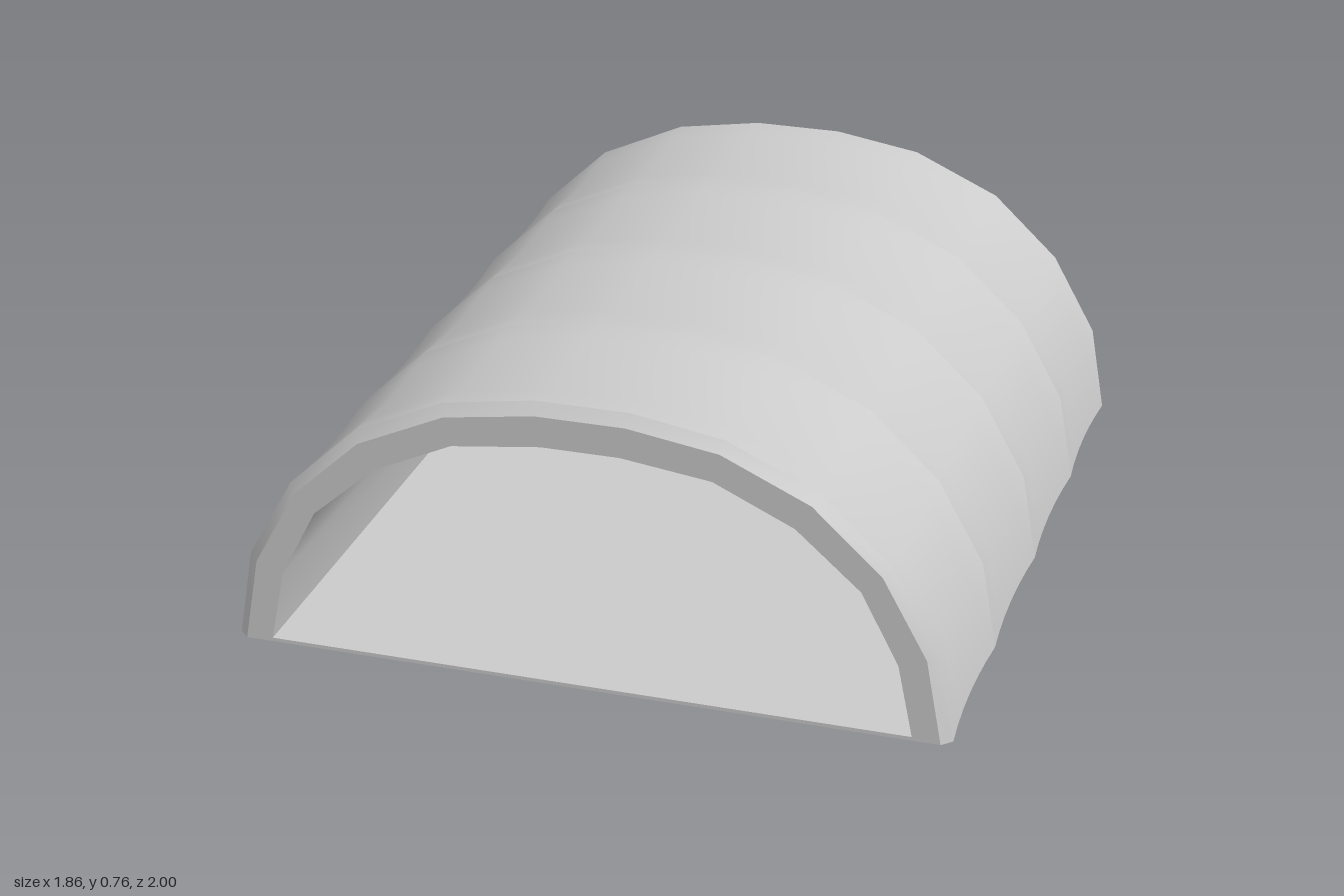
import * as THREE from 'three';

// Half arch profiles, from the ground (+x) to the crown
const OUTER = [[0.93, 0], [0.89, 0.235], [0.77, 0.45], [0.59, 0.62], [0.355, 0.727], [0.12, 0.765]];
const INNER = [[0.835, 0], [0.795, 0.2], [0.7, 0.385], [0.535, 0.53], [0.33, 0.625], [0.1, 0.655]];

// Arch at depth z; t blends from the outer (0) to the inner (1) profile
function arch(t, z) {
  const half = OUTER.map(([x, y], i) => [
    THREE.MathUtils.lerp(x, INNER[i][0], t),
    THREE.MathUtils.lerp(y, INNER[i][1], t),
    z,
  ]);
  return [...half, ...half.slice().reverse().map(([x, y]) => [-x, y, z])];
}

// Smooth skin through a list of [t, z] arches
function skin(name, sections, material) {
  const rings = sections.map(([t, z]) => arch(t, z));
  const n = rings[0].length;
  const index = [];
  for (let i = 0; i < rings.length - 1; i++) {
    for (let j = 0; j < n - 1; j++) {
      const a = i * n + j, b = a + n;
      index.push(a, b, a + 1, b, b + 1, a + 1);
    }
  }
  const geometry = new THREE.BufferGeometry();
  geometry.setAttribute('position', new THREE.Float32BufferAttribute(rings.flat(2), 3));
  geometry.setIndex(index);
  geometry.computeVertexNormals();
  const mesh = new THREE.Mesh(geometry, material);
  mesh.name = name;
  return mesh;
}

export function createModel() {
  const group = new THREE.Group();
  group.name = 'archedShelter';
  const material = new THREE.MeshStandardMaterial({ color: 0xcccccc, side: THREE.DoubleSide });

  // Four roof bays sagging slightly between the ribs
  const ribs = [0.975, 0.5, 0, -0.5, -0.975];
  const steps = 6;
  for (let k = 0; k < 4; k++) {
    const bay = [];
    for (let s = 0; s <= steps; s++) {
      const u = s / steps;
      bay.push([0.12 * 4 * u * (1 - u), THREE.MathUtils.lerp(ribs[k], ribs[k + 1], u)]);
    }
    group.add(skin('roofBay' + (k + 1), bay, material));
  }

  // End rims: flat face and outer bevel (the shell is hollow underneath)
  group.add(
    skin('frontRim', [[1, 1], [0.27, 1]], material),
    skin('frontBevel', [[0.27, 1], [0, 0.975]], material),
    skin('backBevel', [[0, -0.975], [0.27, -1]], material),
    skin('backRim', [[0.27, -1], [1, -1]], material),
    skin('innerLining', [[1, -1], [1, 1]], material),
  );

  // Thin floor
  const floor = new THREE.Mesh(new THREE.BoxGeometry(1.67, 0.01, 2), material);
  floor.name = 'floor';
  floor.position.y = 0.005;
  group.add(floor);

  return group;
}
